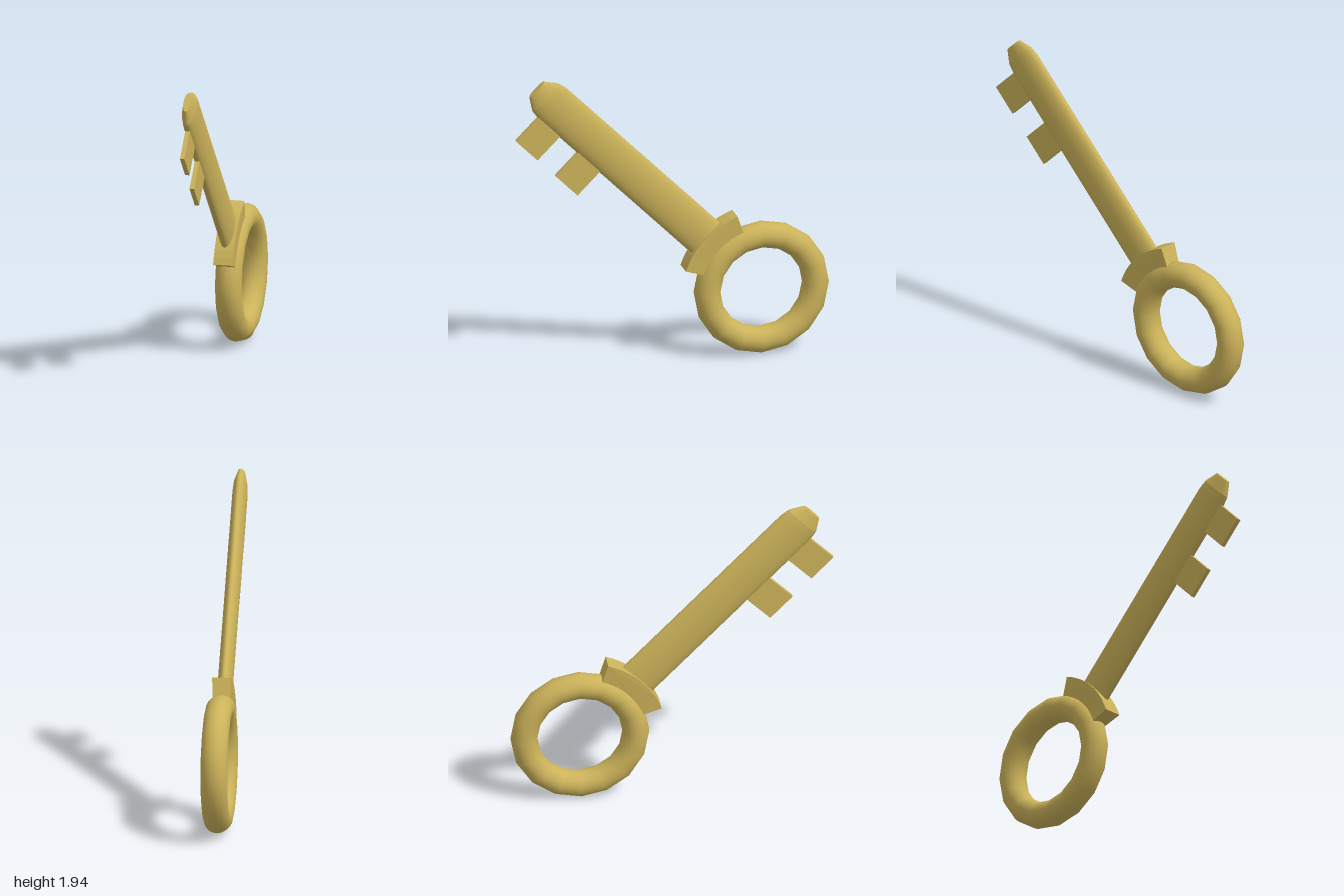
import * as THREE from 'three';

export function createModel() {
  const model = new THREE.Group();
  model.name = 'key';
  const brass = new THREE.MeshStandardMaterial({ color: 0xccb35a });

  // The key is built upright around the ring's centre, then tilted forward.
  const key = new THREE.Group();
  key.name = 'tiltedKey';
  key.position.set(0, 0.432, -0.57);
  key.rotation.x = THREE.MathUtils.degToRad(44.5);
  model.add(key);

  const add = (name, geometry) => {
    const mesh = new THREE.Mesh(geometry, brass);
    mesh.name = name;
    key.add(mesh);
    return mesh;
  };

  // Ring handle
  add('ring', new THREE.TorusGeometry(0.347, 0.083, 20, 16).rotateY(Math.PI / 2));

  // Collar: an arc hugging the ring, slightly wider on its outer side
  const inner = 0.41, outer = 0.53, spread = THREE.MathUtils.degToRad(26);
  const arc = new THREE.Shape();
  arc.absarc(0, 0, outer, Math.PI / 2 - spread, Math.PI / 2 + spread, false);
  arc.absarc(0, 0, inner, Math.PI / 2 + spread, Math.PI / 2 - spread, true);
  const collar = new THREE.ExtrudeGeometry(arc, { depth: 2, bevelEnabled: false, curveSegments: 5 });
  collar.translate(0, 0, -1).rotateY(Math.PI / 2);
  const p = collar.attributes.position;
  for (let i = 0; i < p.count; i++) {
    const r = Math.hypot(p.getY(i), p.getZ(i));
    p.setX(i, p.getX(i) * THREE.MathUtils.mapLinear(r, inner, outer, 0.053, 0.06));
  }
  collar.computeVertexNormals();
  add('collar', collar);

  // Oval shaft with a chamfered tip; doubled points keep the rims crisp
  const profile = [
    [0, 0.42], [0.128, 0.42], [0.128, 0.42], [0.128, 1.907], [0.117, 1.972],
    [0.117, 1.972], [0.066, 2.051], [0.066, 2.051], [0, 2.051],
  ].map(([r, y]) => new THREE.Vector2(r, y));
  add('shaft', new THREE.LatheGeometry(profile, 32)).scale.x = 0.36;

  // Two flat teeth
  for (const [name, from, to] of [['outerTooth', 1.718, 1.912], ['innerTooth', 1.353, 1.551]]) {
    const tooth = new THREE.BoxGeometry(0.028, to - from, 0.26);
    add(name, tooth.translate(0, (from + to) / 2, 0.194));
  }
  return model;
}
